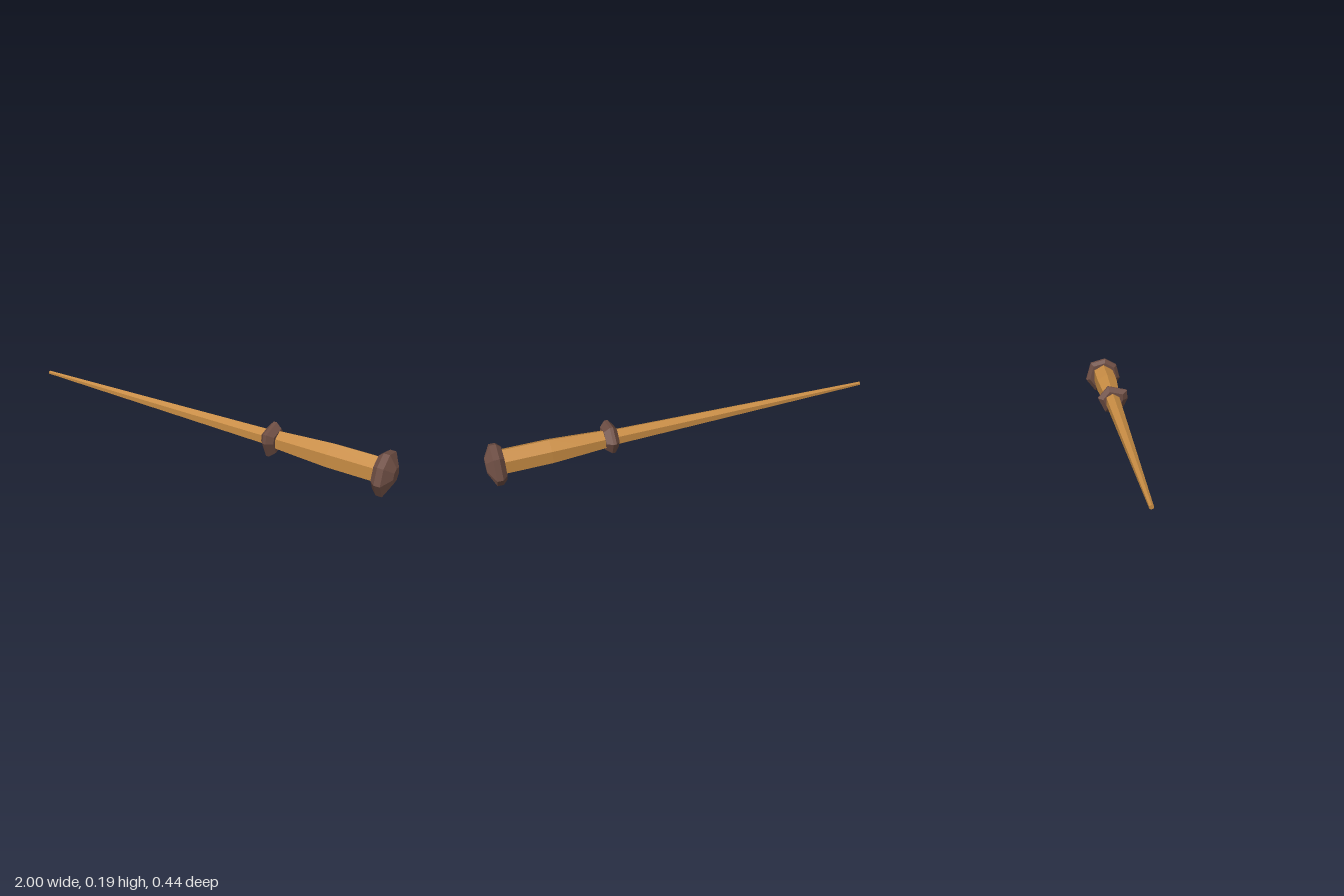
import * as THREE from 'three';

const rad = THREE.MathUtils.degToRad;

// Lofts a faceted solid along x. outline: [angle from +z towards +y, radius]; stations: [x, scale]
function loft(name, outline, stations, material) {
  const n = outline.length, pos = [], index = [];
  for (const [x, k] of stations) {
    for (const [a, r] of outline) pos.push(x, k * r * Math.sin(rad(a)), k * r * Math.cos(rad(a)));
  }
  for (let i = 0; i < stations.length - 1; i++) {
    for (let j = 0; j < n; j++) {
      const a = i * n + j, b = i * n + (j + 1) % n;
      index.push(a, a + n, b, b, a + n, b + n);
    }
  }
  // end caps
  const last = (stations.length - 1) * n;
  for (let j = 1; j < n - 1; j++) {
    index.push(0, j, j + 1, last, last + j + 1, last + j);
  }
  const indexed = new THREE.BufferGeometry();
  indexed.setAttribute('position', new THREE.Float32BufferAttribute(pos, 3));
  indexed.setIndex(index);
  const geometry = indexed.toNonIndexed();
  geometry.computeVertexNormals();
  const mesh = new THREE.Mesh(geometry, material);
  mesh.name = name;
  return mesh;
}

export function createModel() {
  const group = new THREE.Group();
  group.name = 'wand';
  const wood = new THREE.MeshStandardMaterial({ color: 0xc68b43, flatShading: true });
  const brown = new THREE.MeshStandardMaterial({ color: 0x6e4e44, flatShading: true });

  const body = new THREE.Group();
  body.name = 'wandBody';
  body.rotation.y = rad(9.6);
  body.position.set(0, 0.1, 0.04);
  group.add(body);

  // six-sided wood with a ridge along the top
  const hexagon = [30, 90, 150, 210, 270, 330].map((a) => [a, 1]);
  body.add(loft('shaft', hexagon, [[-1.013, 0.01], [0.39, 0.042]], wood));
  body.add(loft('grip', hexagon, [[0.41, 0.047], [0.55, 0.056], [0.7, 0.065], [0.94, 0.065]], wood));

  // uneven collar between shaft and grip
  const collar = [[5, 0.084], [34, 0.096], [108, 0.08], [172, 0.08], [238, 0.077], [298, 0.089]];
  body.add(loft('collar', collar, [[0.37, 0.68], [0.391, 1], [0.407, 1], [0.436, 0.7]], brown));

  // roughly seven-sided pommel with a bevelled end
  const pommel = [[348, 0.105], [35, 0.1], [82, 0.096], [137, 0.103], [197, 0.109], [243, 0.111], [299, 0.113]];
  body.add(loft('pommel', pommel, [[0.923, 0.8], [0.945, 1], [0.974, 1], [1.008, 0.36]], brown));

  return group;
}
